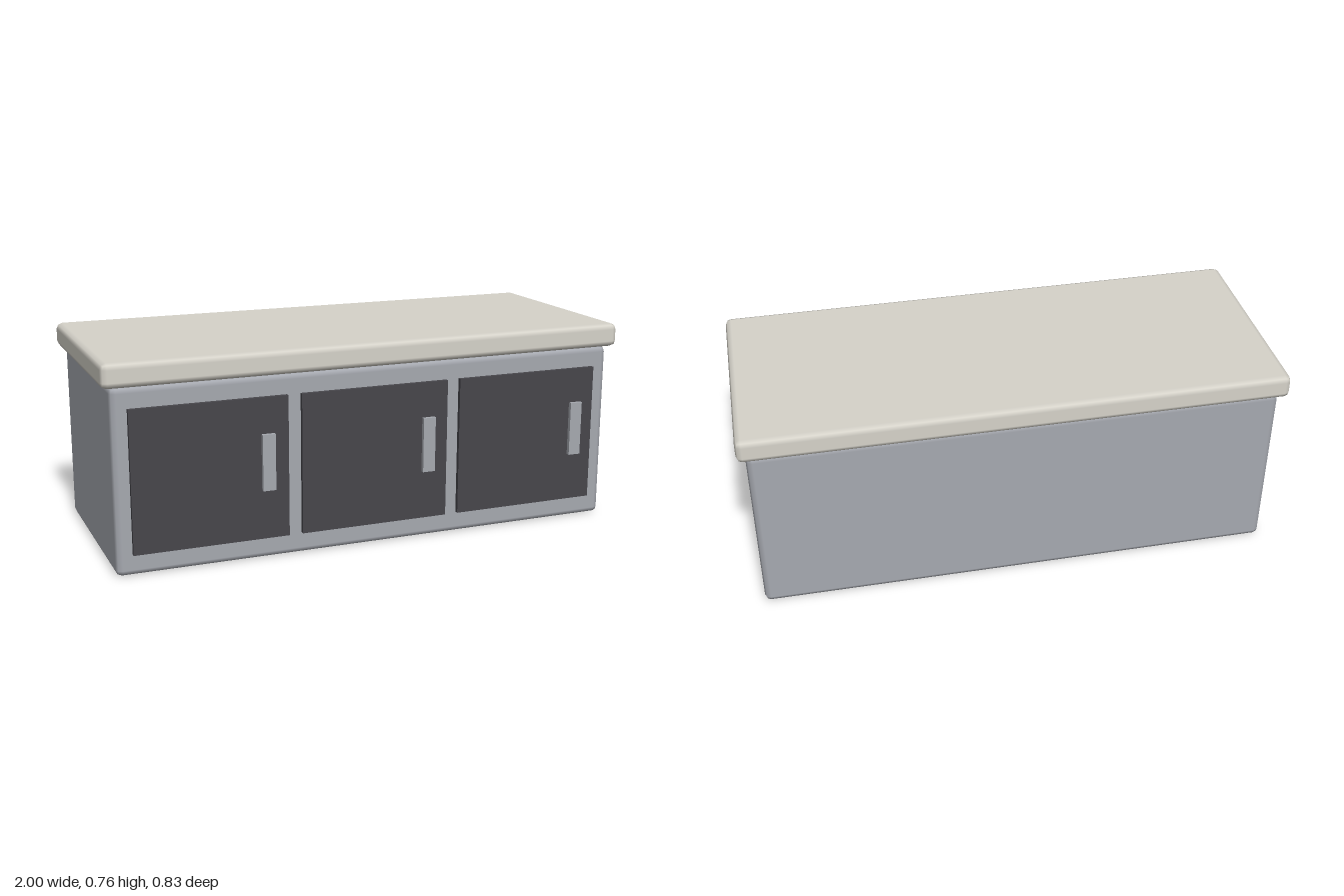
import * as THREE from 'three';
import { RoundedBoxGeometry } from 'three/addons/geometries/RoundedBoxGeometry.js';

const material = (color) => new THREE.MeshStandardMaterial({ color });

export function createModel() {
  const group = new THREE.Group();
  const steel = material(0xa6a9b0);
  const stone = material(0xd6d3ca);
  const dark = material(0x47464b);

  const add = (name, geometry, mat, x, y, z) => {
    const mesh = new THREE.Mesh(geometry, mat);
    mesh.name = name;
    mesh.position.set(x, y, z);
    group.add(mesh);
  };

  // Cabinet body and overhanging worktop with softly bevelled edges
  add('cabinetBody', new RoundedBoxGeometry(1.94, 0.675, 0.778, 1, 0.022), steel, 0, 0.3375, -0.0015);
  add('worktop', new RoundedBoxGeometry(2, 0.089, 0.83, 1, 0.022), stone, 0, 0.7195, -0.0015);

  // Three doors, each with an upright handle near its +x edge
  const doorGeometry = new THREE.BoxGeometry(0.572, 0.52, 0.03);
  const handleGeometry = new THREE.BoxGeometry(0.048, 0.206, 0.03);
  for (let i = 0; i < 3; i++) {
    const x = -0.003 + (i - 1) * 0.623;
    add(`door${i + 1}`, doorGeometry, dark, x, 0.34, 0.388);
    add(`handle${i + 1}`, handleGeometry, steel, x + 0.208, 0.365, 0.403);
  }

  return group;
}
